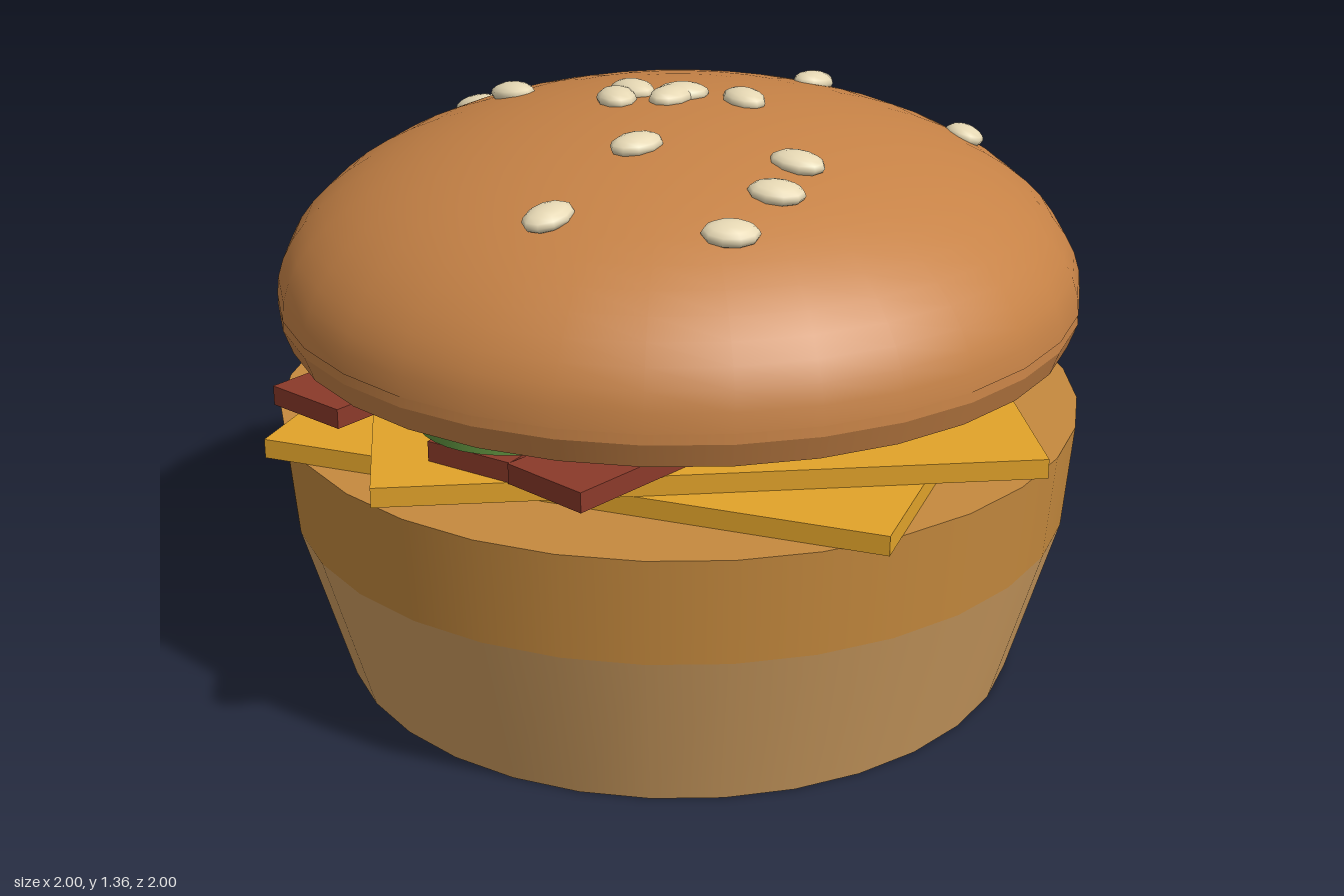
import * as THREE from 'three';

const SIDES = 32;
const mat = (color) => new THREE.MeshStandardMaterial({ color });
const bunTop = mat(0xc68246), crumb = mat(0xd2a062), toast = mat(0xc68a3e);
const cheeseMat = mat(0xe2a32a), baconMat = mat(0x8b3a2a), pickleMat = mat(0x5f923f);
const seedMat = mat(0xe6d8b4), sauceMat = mat(0xcc8a40);

export function createModel() {
  const model = new THREE.Group();

  const add = (name, geometry, material, x = 0, y = 0, z = 0, turn = 0) => {
    const mesh = new THREE.Mesh(geometry, material);
    mesh.name = name;
    mesh.position.set(x, y, z);
    mesh.rotation.y = turn;
    model.add(mesh);
    return mesh;
  };
  // Round slab between two heights
  const slab = (name, material, rBottom, rTop, y0, y1, x = 0, z = 0, open = false) =>
    add(name, new THREE.CylinderGeometry(rTop, rBottom, y1 - y0, SIDES, 1, open), material, x, (y0 + y1) / 2, z);

  // Bottom bun in two bands
  slab('bottomBun', crumb, 0.8, 0.91, 0, 0.385);
  slab('bottomBunRim', toast, 0.91, 0.93, 0.385, 0.63);

  // Drop of sauce on the bottom bun
  add('sauceDrop', new THREE.SphereGeometry(0.08, 16, 10), sauceMat, 0.2, 0.63, 0.7).scale.y = 0.27;

  // Two square cheese slices, given by the angle of one corner
  const slice = new THREE.BoxGeometry(1.414, 0.044, 1.414);
  const corner = (deg) => THREE.MathUtils.degToRad(45 - deg);
  add('lowerCheese', slice, cheeseMat, 0, 0.653, 0, corner(27));
  add('upperCheese', slice, cheeseMat, 0, 0.698, 0, corner(1));

  // Three slightly turned bacon strips
  const strip = new THREE.BoxGeometry(1.64, 0.045, 0.21);
  [[0.36, -0.08], [0, 0.105], [-0.36, -0.042]].forEach(([z, turn]) =>
    add('baconStrip', strip, baconMat, 0, 0.743, z, turn));

  // Pickle slices
  [[-0.1, 0.485], [-0.635, 0.05], [-0.38, 0.35], [0.315, -0.635]].forEach(([x, z]) =>
    slab('pickleSlice', pickleMat, 0.205, 0.205, 0.775, 0.825, x, z));

  // Top bun: tapered base, rim band and dome
  slab('topBunBase', bunTop, 0.9, 0.92, 0.822, 0.877);
  slab('topBunRim', bunTop, 0.92, 0.916, 0.877, 0.93);
  const domeR = 0.92, domeH = 0.435, domeY = 0.9;
  const profile = [];
  for (let i = 0; i <= 16; i++) {
    const a = (i / 16) * Math.PI / 2;
    profile.push(new THREE.Vector2(domeR * Math.cos(a), domeY + domeH * Math.sin(a)));
  }
  profile[16].x = 0;
  add('topBunDome', new THREE.LatheGeometry(profile, SIDES), bunTop);

  // Sesame seeds lying on the dome: x, z, heading of the long axis in degrees
  const seedGeo = new THREE.SphereGeometry(1, 10, 8);
  const seeds = [
    [0.11, -0.72, -80], [-0.07, -0.44, 80], [-0.1, -0.1, 50], [-0.03, -0.11, 75],
    [-0.03, 0, 5], [0.01, 0, -45], [0.07, 0.13, 65], [-0.3, 0.12, -20],
    [-0.6, 0.13, -10], [0.47, 0.04, 8], [0.56, 0.41, 45], [-0.43, 0.47, -50],
    [-0.26, 0.46, -60], [-0.13, 0.42, -75],
  ];
  const up = new THREE.Vector3(0, 1, 0);
  for (const [x, z, deg] of seeds) {
    const y = domeY + domeH * Math.sqrt(1 - (x * x + z * z) / domeR ** 2);
    const seed = add('sesameSeed', seedGeo, seedMat, x, y + 0.004, z);
    seed.scale.set(0.062, 0.025, 0.045);
    // Lean partly towards the slope of the dome
    const normal = new THREE.Vector3(x / domeR ** 2, (y - domeY) / domeH ** 2, z / domeR ** 2).normalize();
    const lean = new THREE.Quaternion().setFromUnitVectors(up, normal.lerp(up, 0.5).normalize());
    const heading = new THREE.Quaternion().setFromAxisAngle(up, THREE.MathUtils.degToRad(deg));
    seed.quaternion.copy(lean.multiply(heading));
  }

  return model;
}
